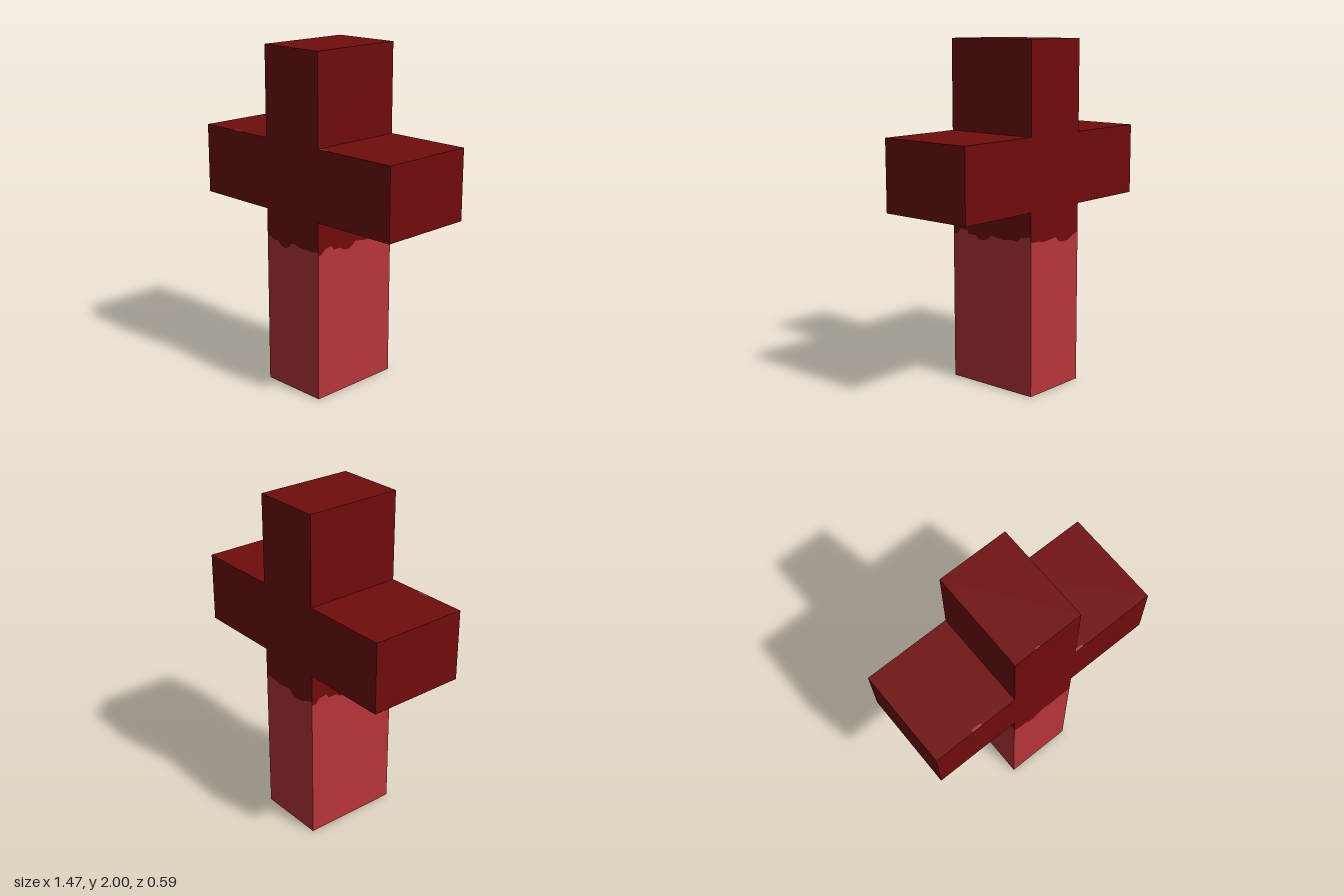
import * as THREE from 'three';

const HALF_W = 0.21, HALF_D = 0.295, ARM = 0.735, ARM_LOW = 1.06, ARM_TOP = 1.475;

export function createModel() {
  const model = new THREE.Group();
  model.name = 'cross';
  const dark = new THREE.MeshStandardMaterial({ color: 0x700c0c });
  dark.name = 'dark red';
  const light = new THREE.MeshStandardMaterial({ color: 0xb8353b });
  light.name = 'light red';

  const add = (parent, name, geometry, material) => {
    const mesh = new THREE.Mesh(geometry, material);
    mesh.name = name;
    parent.add(mesh);
    return mesh;
  };
  const shapeOf = (points) => new THREE.Shape(points.map(([x, y]) => new THREE.Vector2(x, y)));

  // Head and arms in one inverted T
  const upper = shapeOf([
    [-ARM, ARM_LOW], [ARM, ARM_LOW], [ARM, ARM_TOP], [HALF_W, ARM_TOP],
    [HALF_W, 2], [-HALF_W, 2], [-HALF_W, ARM_TOP], [-ARM, ARM_TOP],
  ]);
  const upperGeometry = new THREE.ExtrudeGeometry(upper, { depth: HALF_D * 2, bevelEnabled: false });
  upperGeometry.translate(0, 0, -HALF_D);
  add(model, 'headAndArms', upperGeometry, dark);

  // Wavy paint lines, left to right as each wall is faced
  const frontLine = [
    [-0.21, 0.9], [-0.18, 0.9], [-0.165, 0.885], [-0.12, 0.885], [-0.095, 0.86], [-0.06, 0.853],
    [-0.03, 0.865], [-0.01, 0.89], [0.02, 0.895], [0.05, 0.885], [0.08, 0.88], [0.12, 0.885],
    [0.15, 0.88], [0.21, 0.89],
  ];
  const backLine = [
    [-0.21, 0.89], [-0.15, 0.89], [-0.1, 0.88], [0.01, 0.89], [0.03, 0.865], [0.07, 0.855],
    [0.12, 0.86], [0.15, 0.875], [0.21, 0.895],
  ];
  const sideLine = [
    [-0.295, 0.87], [-0.27, 0.87], [-0.24, 0.9], [-0.19, 0.905], [-0.175, 0.88], [-0.12, 0.88],
    [-0.09, 0.86], [-0.05, 0.86], [-0.02, 0.875], [0, 0.895], [0.05, 0.885], [0.1, 0.88],
    [0.15, 0.89], [0.2, 0.885], [0.22, 0.91], [0.295, 0.92],
  ];

  // Each wall of the post is split along its paint line
  const addWall = (name, halfWidth, distance, angle, line) => {
    const wall = new THREE.Group();
    wall.name = name;
    const lower = shapeOf([[-halfWidth, 0], [halfWidth, 0], ...[...line].reverse()]);
    const top = shapeOf([...line, [halfWidth, ARM_LOW], [-halfWidth, ARM_LOW]]);
    add(wall, name + 'Lower', new THREE.ShapeGeometry(lower), light);
    add(wall, name + 'Upper', new THREE.ShapeGeometry(top), dark);
    wall.rotation.y = angle;
    wall.position.set(Math.sin(angle) * distance, 0, Math.cos(angle) * distance);
    model.add(wall);
  };
  addWall('postFront', HALF_W, HALF_D, 0, frontLine);
  addWall('postLeft', HALF_D, HALF_W, Math.PI / 2, sideLine);
  addWall('postBack', HALF_W, HALF_D, Math.PI, backLine);
  addWall('postRight', HALF_D, HALF_W, -Math.PI / 2, sideLine);

  // Underside of the post
  const base = add(model, 'postBase', new THREE.PlaneGeometry(HALF_W * 2, HALF_D * 2), dark);
  base.rotation.x = Math.PI / 2;

  // Small paint flecks along the front edge of the top faces
  for (const [x, y, w, d] of [[-0.46, ARM_TOP, 0.06, 0.015], [0.24, ARM_TOP, 0.055, 0.015], [-0.065, 2, 0.025, 0.008]]) {
    const fleck = add(model, 'paintFleck', new THREE.PlaneGeometry(w, d), light);
    fleck.rotation.x = -Math.PI / 2;
    fleck.position.set(x, y + 0.001, HALF_D - d / 2);
  }
  return model;
}
